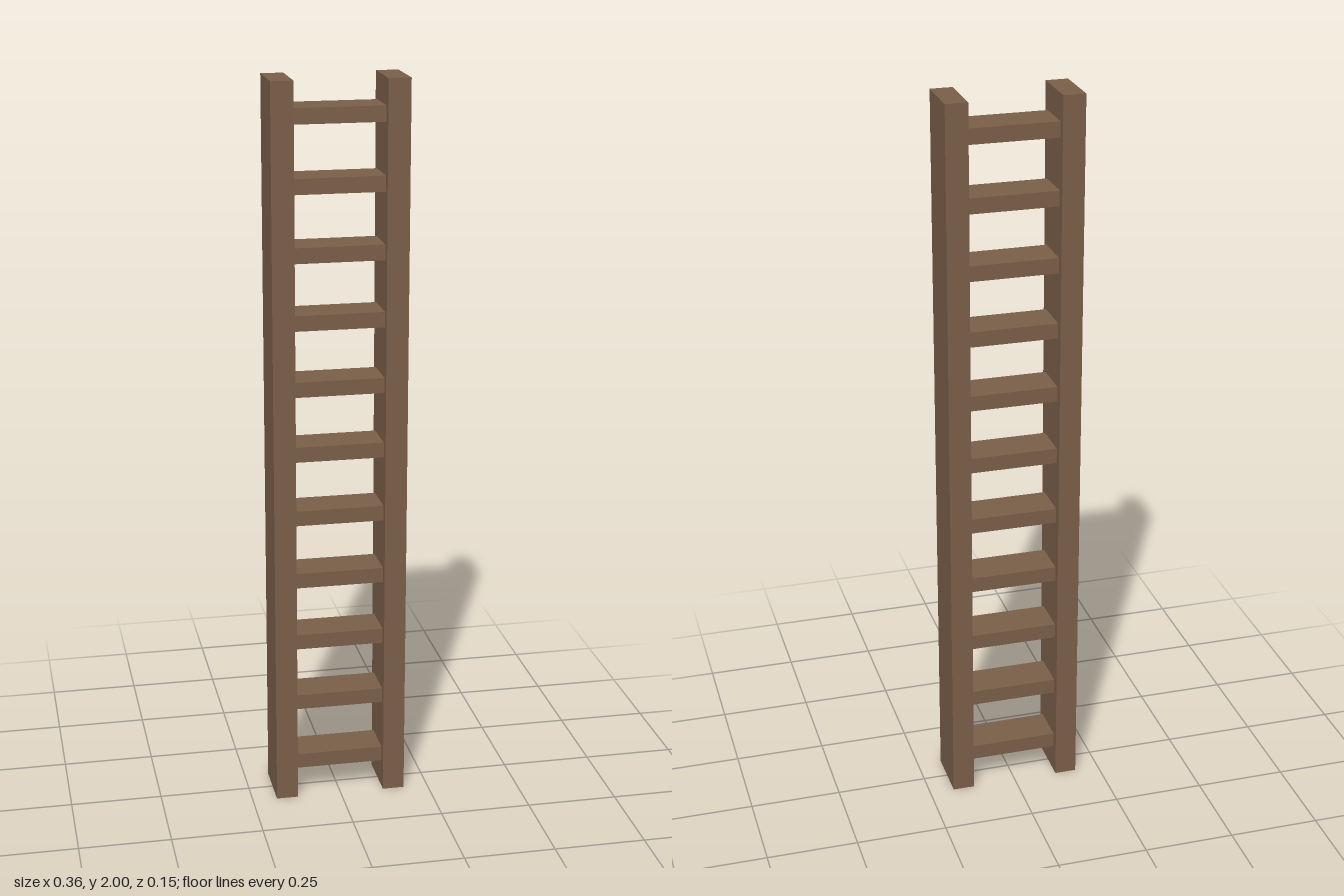
import * as THREE from 'three';

export function createModel() {
  const group = new THREE.Group();
  group.name = 'ladder';
  const wood = new THREE.MeshStandardMaterial({ color: 0x7a5f48, flatShading: true });

  const addBox = (name, w, h, d, x, y) => {
    const mesh = new THREE.Mesh(new THREE.BoxGeometry(w, h, d), wood);
    mesh.name = name;
    mesh.position.set(x, y, 0);
    group.add(mesh);
  };

  // Two upright side rails
  const railWidth = 0.06, halfGap = 0.122;
  for (const side of [1, -1]) {
    addBox(side > 0 ? 'leftRail' : 'rightRail', railWidth, 2, 0.152, side * (halfGap + railWidth / 2), 1);
  }

  // Evenly spaced flat rungs between the rails
  const rungCount = 11, firstRung = 0.1, spacing = 0.1807;
  for (let i = 0; i < rungCount; i++) {
    addBox(`rung${i + 1}`, halfGap * 2, 0.042, 0.109, 0, firstRung + i * spacing);
  }

  return group;
}
